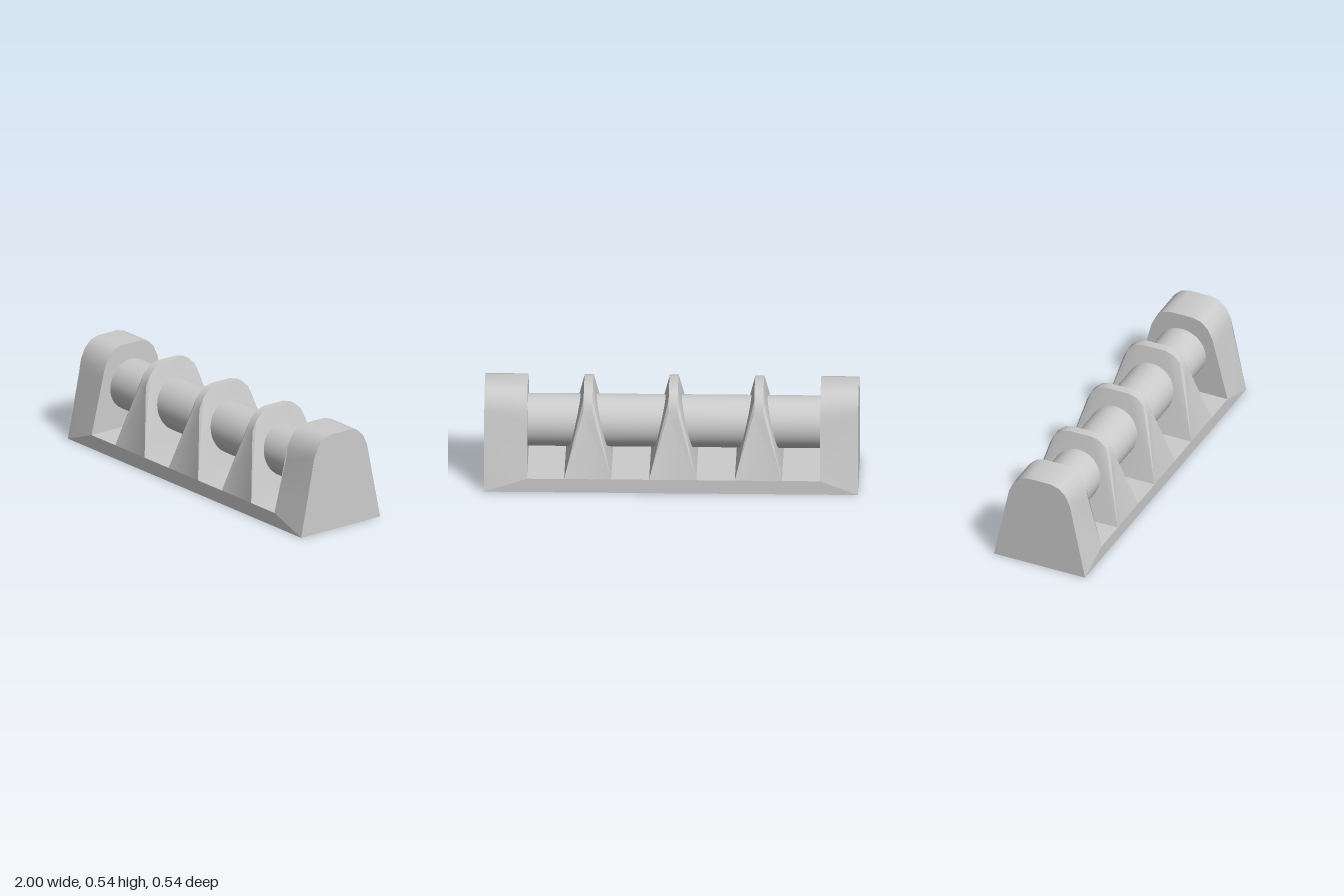
import * as THREE from 'three';
import { toCreasedNormals } from 'three/addons/utils/BufferGeometryUtils.js';

const material = new THREE.MeshStandardMaterial({ color: 0xcccccc });
const FLOOR = 0.077, DEPTH = 0.27;

// Half outline [z, y] above the foot, rising to the rounded crown
const HALF = [[0.19, 0.365], [0.18, 0.433], [0.153, 0.49], [0.113, 0.528], [0.065, 0.541]];

// Full section at x, with its own foot position and foot height
function section(x, footX, footY) {
  const half = [[footX, footY, DEPTH], ...HALF.map(([z, y]) => [x, y, z])];
  return [...half, ...half.map(([px, y, z]) => [px, y, -z]).reverse()];
}

// Skin between a left and a right section, closed by a folded cap on each side
function loft(L, R) {
  const pos = [], n = L.length, last = n - 1, mid = n / 2;
  const tri = (a, b, c) => pos.push(...a, ...b, ...c);
  for (let i = 0; i < last; i++) {
    const j = i + 1;
    if (i < mid) {
      tri(R[i], R[j], L[i]);
      tri(R[j], L[j], L[i]);
    } else {
      tri(R[i], R[j], L[j]);
      tri(R[i], L[j], L[i]);
    }
  }
  const cap = (S, flip) => {
    const face = (a, b, c) => (flip ? tri(S[a], S[c], S[b]) : tri(S[a], S[b], S[c]));
    face(0, last, mid);
    face(0, mid, mid - 1);
    for (let i = 1; i < mid - 1; i++) {
      face(0, i + 1, i);
      face(last, last - i, last - i - 1);
    }
  };
  cap(R, false);
  cap(L, true);
  const geometry = new THREE.BufferGeometry();
  geometry.setAttribute('position', new THREE.Float32BufferAttribute(pos, 3));
  return toCreasedNormals(geometry, 0.55);
}

export function createModel() {
  const group = new THREE.Group();
  const add = (name, geometry) => {
    const mesh = new THREE.Mesh(geometry, material);
    mesh.name = name;
    group.add(mesh);
    return mesh;
  };

  // Base plate, tapering under the end blocks
  const plate = new THREE.Shape([[-1, 0], [1, 0], [0.77, FLOOR], [-0.797, FLOOR]]
    .map(([x, y]) => new THREE.Vector2(x, y)));
  add('base', new THREE.ExtrudeGeometry(plate, { depth: 2 * DEPTH, bevelEnabled: false })
    .translate(0, 0, -DEPTH));

  // End blocks: the outer foot reaches the ground, the inner foot meets the floor
  const block = (inner) => loft(section(inner, inner, FLOOR), section(1, 1, 0));
  add('leftEndBlock', block(0.77));
  add('rightEndBlock', block(0.797)).rotation.y = Math.PI;

  // Ribs: thin on top, flaring towards the floor
  for (const x of [-0.468, -0.01, 0.445]) {
    add('rib', loft(section(x - 0.024, x - 0.126, FLOOR), section(x + 0.024, x + 0.126, FLOOR)));
  }

  // Rod running through the ribs
  const rod = add('rod', new THREE.CylinderGeometry(0.141, 0.141, 1.6, 48));
  rod.rotation.z = Math.PI / 2;
  rod.position.set(-0.013, 0.31, 0);

  return group;
}
